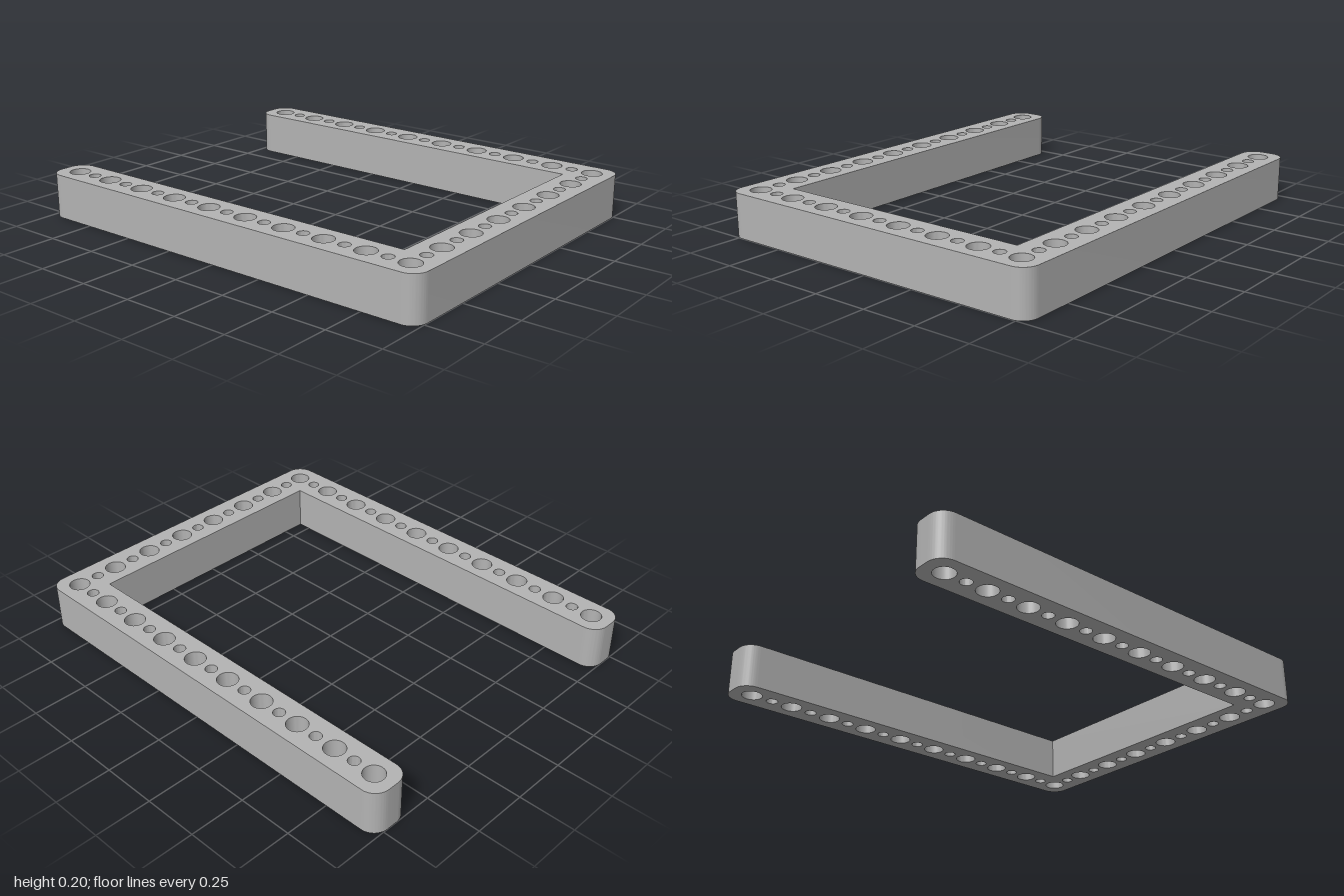
import * as THREE from 'three';
import { toCreasedNormals } from 'three/addons/utils/BufferGeometryUtils.js';

const PITCH = 0.201;      // spacing of the large holes
const WIDTH = 0.19;       // width of each bar
const HEIGHT = 0.2;
const CORNER = 0.07;      // radius of the rounded outer corners
const X = 3.5 * PITCH;    // hole line of the side arms
const Y = 4.5 * PITCH;    // hole line of the front bar
const OX = X + WIDTH / 2, OY = Y + WIDTH / 2;
const IX = X - WIDTH / 2, IY = Y - WIDTH / 2;

// U-shaped outline, drawn in plan with the front bar at -y
function frameOutline() {
  const s = new THREE.Shape();
  const r = CORNER;
  const corner = (x, y, start) => s.absarc(x, y, r, start, start + Math.PI / 2, false);
  corner(-OX + r, -OY + r, Math.PI);
  corner(OX - r, -OY + r, -Math.PI / 2);
  corner(OX - r, OY - r, 0);
  corner(IX + r, OY - r, Math.PI / 2);
  s.lineTo(IX, -IY);
  s.lineTo(-IX, -IY);
  corner(-IX - r, OY - r, 0);
  corner(-OX + r, OY - r, Math.PI / 2);
  s.closePath();
  return s;
}

export function createModel() {
  const group = new THREE.Group();
  group.name = 'perforatedFrame';
  const grey = new THREE.MeshStandardMaterial({ color: 0xb3b3b3 });
  grey.name = 'grey';

  const shape = frameOutline();
  const addHole = (x, y, radius) => {
    const hole = new THREE.Path();
    hole.absarc(x, y, radius, 0, Math.PI * 2, true);
    shape.holes.push(hole);
  };

  // Alternating large and small holes: even steps are large
  const radiusAt = (i) => (i % 2 === 0 ? 0.046 : 0.026);
  for (const side of [-1, 1]) {
    for (let i = 0; i <= 18; i++) addHole(side * X, -Y + i * PITCH / 2, radiusAt(i));
  }
  for (let i = 1; i < 14; i++) addHole(-X + i * PITCH / 2, -Y, radiusAt(i));

  // Solid frame with straight-through holes
  const geometry = new THREE.ExtrudeGeometry(shape, {
    depth: HEIGHT, bevelEnabled: false, curveSegments: 16,
  });
  geometry.rotateX(-Math.PI / 2);
  const frame = new THREE.Mesh(toCreasedNormals(geometry, 0.6), grey);
  frame.name = 'frame';
  group.add(frame);
  return group;
}
